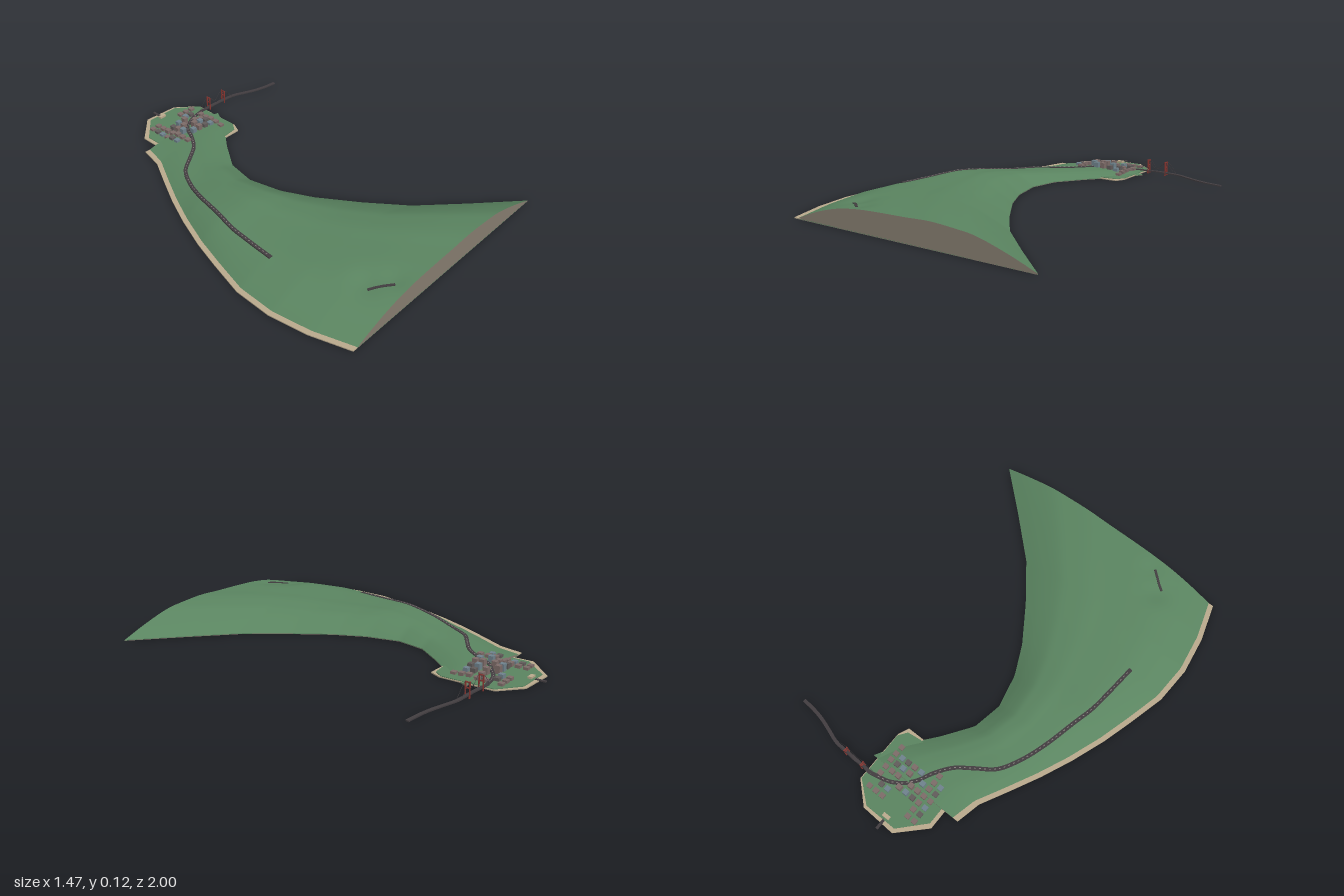
import * as THREE from 'three';

const mat = (name, color, double) => {
  const m = new THREE.MeshStandardMaterial({ color });
  m.name = name;
  if (double) m.side = THREE.DoubleSide;
  return m;
};

// Stations along the headland: shoreline on both sides and crest height
const Z = [-0.73, -0.6, -0.45, -0.3, -0.14, 0.04, 0.2, 0.4, 0.6, 0.8, 1];
const LEFT = [-0.275, -0.305, -0.385, -0.462, -0.533, -0.6, -0.647, -0.7, -0.71, -0.68, -0.62];
const RIGHT = [0.24, 0.165, 0.04, -0.065, -0.095, -0.055, 0.02, 0.15, 0.3, 0.51, 0.73];
const CREST = [0.025, 0.032, 0.037, 0.043, 0.068, 0.089, 0.088, 0.092, 0.105, 0.117, 0.122];
// Cross-section of the hill from shore to shore, as a share of the crest
const U = [0, 0.06, 0.14, 0.24, 0.36, 0.5, 0.6, 0.7, 0.78, 0.9, 1];
const PROFILE = [0, 0.28, 0.58, 0.83, 0.92, 0.96, 1, 0.93, 0.82, 0.42, 0];

function sample(xs, ys, x, smooth) {
  let i = 0;
  while (i < xs.length - 2 && x > xs[i + 1]) i++;
  const d = xs[i + 1] - xs[i];
  const t = THREE.MathUtils.clamp((x - xs[i]) / d, 0, 1);
  if (!smooth) return ys[i] + (ys[i + 1] - ys[i]) * t;
  const slope = k => k <= 0 || k >= xs.length - 1 ? (k ? ys[k] - ys[k - 1] : ys[1] - ys[0]) / d
    : (ys[k + 1] - ys[k - 1]) / (xs[k + 1] - xs[k - 1]);
  const t2 = t * t, t3 = t2 * t;
  return (2 * t3 - 3 * t2 + 1) * ys[i] + (t3 - 2 * t2 + t) * d * slope(i)
    + (3 * t2 - 2 * t3) * ys[i + 1] + (t3 - t2) * d * slope(i + 1);
}

const BASE = 0.005, CITY = 0.01;
const bump = (x, z, cx, cz, r) => Math.exp(-((x - cx) ** 2 + (z - cz) ** 2) / (r * r));

function hillHeight(x, z) {
  const l = sample(Z, LEFT, z), r = sample(Z, RIGHT, z);
  const u = THREE.MathUtils.clamp((x - l) / (r - l), 0, 1);
  const h = sample(U, PROFILE, u, true) * (sample(Z, CREST, z, true) - BASE);
  const dents = 0.016 * bump(x, z, -0.37, 0.84, 0.07) + 0.01 * bump(x, z, -0.28, 0.92, 0.06)
    - 0.006 * bump(x, z, -0.19, -0.27, 0.09);
  return BASE + Math.max(0, h - dents * Math.min(1, u * 6, (1 - u) * 6));
}
function ground(x, z) {
  const onHill = z >= -0.73 && x > sample(Z, LEFT, z) && x < sample(Z, RIGHT, z);
  return onHill ? Math.max(CITY, hillHeight(x, z)) : CITY;
}

// Ribbon with a rectangular section that follows 3D points
function ribbon(points, width, thick) {
  const pos = [], idx = [];
  points.forEach((p, i) => {
    const a = points[Math.max(0, i - 1)], b = points[Math.min(points.length - 1, i + 1)];
    const s = new THREE.Vector3(-(b.z - a.z), 0, b.x - a.x).normalize().multiplyScalar(width / 2);
    for (const [k, y] of [[-1, 0], [1, 0], [1, -thick], [-1, -thick]]) pos.push(p.x + k * s.x, p.y + y, p.z + k * s.z);
  });
  for (let i = 0; i < points.length - 1; i++) for (let k = 0; k < 4; k++) {
    const a = i * 4 + k, b = i * 4 + (k + 1) % 4;
    idx.push(a, b, a + 4, b, b + 4, a + 4);
  }
  const e = (points.length - 1) * 4;
  idx.push(0, 2, 1, 0, 3, 2, e, e + 1, e + 2, e, e + 2, e + 3);
  const g = new THREE.BufferGeometry();
  g.setAttribute('position', new THREE.Float32BufferAttribute(pos, 3));
  g.setIndex(idx);
  const flat = g.toNonIndexed();
  flat.computeVertexNormals();
  return flat;
}

export function createModel() {
  const root = new THREE.Group();
  const grass = mat('grass green', 0x5a8460);
  const rock = mat('rock brown', 0x857c6f, true);
  const sand = mat('sand', 0xb9a98c);
  const asphalt = mat('asphalt', 0x423d40, true);
  const marking = mat('road marking', 0x85797a);
  const towerRed = mat('tower red', 0x8a3530);
  const facades = [mat('brown facade', 0x7d6b68), mat('blue grey facade', 0x6f828c), mat('dark facade', 0x615b5a)];

  const add = (name, geo, material, x = 0, y = 0, z = 0, parent = root) => {
    const m = new THREE.Mesh(geo, material);
    m.name = name;
    m.position.set(x, y, z);
    parent.add(m);
    return m;
  };
  const box = (name, w, h, d, material, x, y, z, parent) =>
    add(name, new THREE.BoxGeometry(w, h, d), material, x, y + h / 2, z, parent);
  // Flat slab from an outline of [x, z] points
  const slab = (name, pts, y0, y1, material) => {
    const s = new THREE.Shape(pts.map(([x, z]) => new THREE.Vector2(x, -z)));
    const g = new THREE.ExtrudeGeometry(s, { depth: y1 - y0, bevelEnabled: false });
    add(name, g.rotateX(-Math.PI / 2), material, 0, y0, 0);
  };

  // Hill surface
  const NU = 60, NZ = 100, pos = [], idx = [];
  for (let i = 0; i <= NZ; i++) {
    const z = -0.73 + 1.73 * i / NZ, l = sample(Z, LEFT, z), r = sample(Z, RIGHT, z);
    for (let j = 0; j <= NU; j++) {
      const x = l + (r - l) * j / NU;
      pos.push(x, hillHeight(x, z), z);
      if (i < NZ && j < NU) {
        const a = i * (NU + 1) + j, b = a + NU + 1;
        idx.push(a, b, a + 1, b, b + 1, a + 1);
      }
    }
  }
  const hill = new THREE.BufferGeometry();
  hill.setAttribute('position', new THREE.Float32BufferAttribute(pos, 3));
  hill.setIndex(idx);
  hill.computeVertexNormals();
  add('hill', hill, grass);

  // Cut faces at both ends of the hill
  for (const [name, z] of [['frontCut', 1], ['backCut', -0.73]]) {
    const l = sample(Z, LEFT, z), r = sample(Z, RIGHT, z), pts = [new THREE.Vector2(l, 0)];
    for (let j = 0; j <= NU; j++) {
      const x = l + (r - l) * j / NU;
      pts.push(new THREE.Vector2(x, hillHeight(x, z)));
    }
    pts.push(new THREE.Vector2(r, 0));
    add(name, new THREE.ShapeGeometry(new THREE.Shape(pts)), rock, 0, 0, z);
  }

  // Base, beaches and the town's flat ground
  const rightShore = Z.map((z, i) => [RIGHT[i], z]);
  const beachLine = Z.map((z, i) => [LEFT[i] - 0.025, z]).reverse();
  const townBeach = [[-0.22, -0.6], [-0.22, -0.835], [-0.085, -0.97], [0.105, -0.96], [0.215, -0.86],
    [0.215, -0.57], [0.19, -0.515], [0.1, -0.515]];
  const townGround = [[-0.2, -0.6], [-0.2, -0.82], [-0.08, -0.947], [0.1, -0.945], [0.21, -0.855],
    [0.212, -0.58], [0.18, -0.535], [0.1, -0.525]];
  slab('hillBase', [...rightShore, ...beachLine], 0, 0.002, rock);
  slab('townBase', townBeach, 0, 0.0021, rock);
  slab('hillBeach', [...Z.map((z, i) => [LEFT[i] + 0.02, z]), ...beachLine], 0.002, 0.006, sand);
  slab('townBeach', townBeach, 0.002, 0.0065, sand);
  slab('townGround', townGround, 0.006, CITY, grass);
  slab('hillShore', [...rightShore, ...Z.map((z, i) => [LEFT[i], z]).reverse()], 0.002, BASE, grass);

  // Coast road, running through the town and over the bridge
  const path = new THREE.CatmullRomCurve3([[-0.515, 0.41], [-0.5, 0.25], [-0.485, 0.12], [-0.455, 0],
    [-0.41, -0.17], [-0.36, -0.3], [-0.295, -0.41], [-0.2, -0.48], [-0.12, -0.54], [-0.06, -0.62], [-0.01, -0.71],
    [0.08, -0.78], [0.19, -0.808]].map(([x, z]) => new THREE.Vector3(x, 0, z)));
  const lift = p => p.setY(ground(p.x, p.z) + 0.004);
  add('coastRoad', ribbon(path.getSpacedPoints(160).map(lift), 0.02, 0.008), asphalt);
  add('hillRoad', ribbon([[-0.39, 0.865], [-0.36, 0.885], [-0.33, 0.91], [-0.295, 0.94]]
    .map(([x, z]) => lift(new THREE.Vector3(x, 0, z))), 0.012, 0.008), asphalt);
  const dashes = new THREE.Group();
  dashes.name = 'roadMarkings';
  root.add(dashes);
  for (let i = 1; i < 60; i++) {
    const ends = [0, 0.4].map(k => lift(path.getPointAt((i + k) / 61)));
    ends.forEach(p => { p.y += 0.001; });
    add('dash', ribbon(ends, 0.004, 0.001), marking, 0, 0, 0, dashes);
  }

  // Bridge deck with two portal towers and cables
  const bridge = new THREE.Group();
  bridge.name = 'bridge';
  root.add(bridge);
  const deck = new THREE.CatmullRomCurve3([[0.19, 0.014, -0.808], [0.3, 0.018, -0.803], [0.43, 0.016, -0.795],
    [0.5, 0.013, -0.772], [0.57, 0.01, -0.75], [0.63, 0.008, -0.738], [0.71, 0.006, -0.73]]
    .map(p => new THREE.Vector3(...p)));
  add('bridgeDeck', ribbon(deck.getSpacedPoints(40), 0.018, 0.006), asphalt, 0, 0, 0, bridge);
  for (const [x, z] of [[0.24, -0.806], [0.35, -0.801]]) {
    for (const s of [-1, 1]) box('towerLeg', 0.006, 0.078, 0.005, towerRed, x, 0, z + s * 0.011, bridge);
    for (const y of [0.045, 0.072]) box('towerBeam', 0.005, 0.005, 0.02, towerRed, x, y, z, bridge);
  }
  for (const s of [-1, 1]) {
    const cable = new THREE.CatmullRomCurve3([[0.19, 0.018, -0.808], [0.24, 0.076, -0.806], [0.295, 0.03, -0.8035],
      [0.35, 0.076, -0.801], [0.41, 0.018, -0.797]].map(([x, y, z]) => new THREE.Vector3(x, y, z + s * 0.011)));
    add('cable', new THREE.TubeGeometry(cable, 24, 0.001, 4), asphalt, 0, 0, 0, bridge);
  }

  // Town blocks on a street grid, tallest near the centre
  const town = new THREE.Group();
  town.name = 'town';
  root.add(town);
  const columns = [-0.135, -0.094, -0.055, -0.014, 0.028, 0.07, 0.11, 0.152];
  const rows = [-0.86, -0.818, -0.778, -0.737, -0.696, -0.657, -0.615];
  const route = path.getSpacedPoints(120);
  rows.forEach((z, r) => columns.forEach((x, c) => {
    if (r < 2 && c > 1 && c < 5) return;
    if (r === 6 && c !== 1 && c !== 7) return;
    if (route.some(p => Math.hypot(p.x - x, p.z - z) < 0.02)) return;
    const y = ground(x, z) - 0.004;
    const h = 0.016 + 0.04 * bump(x, z, 0.01, -0.735, 0.09) * (0.75 + 0.25 * ((r * 3 + c * 5) % 4) / 3);
    box('building', 0.026, h, 0.026, facades[(r * 5 + c * 3 + r * c) % 3], x, y, z, town);
  }));

  // Pier and its hall on the back shore
  box('pier', 0.014, 0.006, 0.06, asphalt, -0.012, 0.004, -0.97);
  box('pierHall', 0.04, 0.012, 0.02, sand, -0.012, CITY - 0.002, -0.925);
  return root;
}
